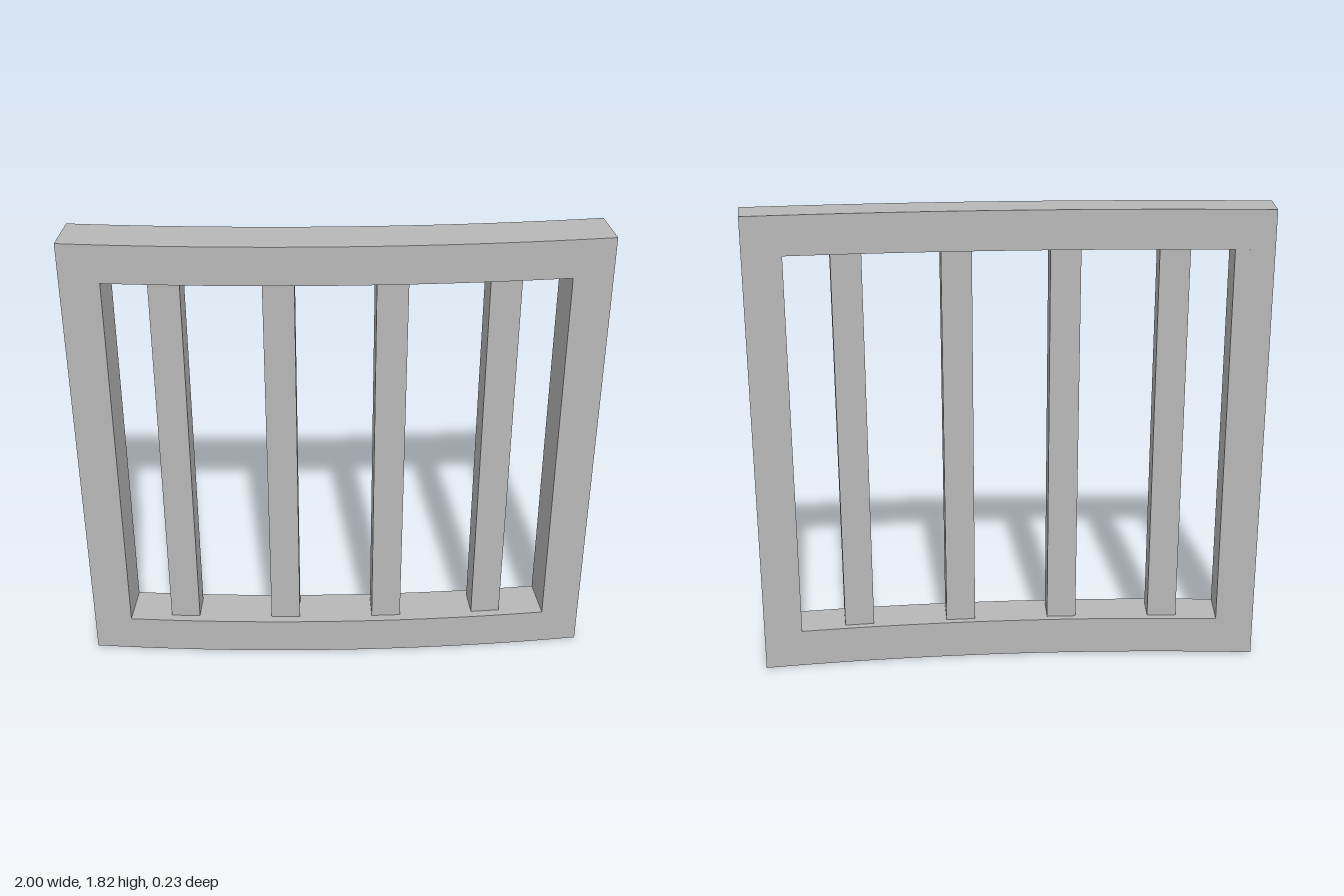
import * as THREE from 'three';

const R = 9.1;          // radius of the curved front face
const FRONT = 0.117;    // z of the front face at the middle
const DEPTH = 0.18;
const HEIGHT = 1.82;
const RAIL = 0.15;

// Box wrapped round the vertical axis of the arc; x is measured along the front face.
function bentBox(x0, x1, y0, y1, z0, z1, segments) {
  const geo = new THREE.BoxGeometry(x1 - x0, y1 - y0, z1 - z0, segments, 1, 1);
  geo.translate((x0 + x1) / 2, (y0 + y1) / 2, (z0 + z1) / 2);
  const p = geo.attributes.position;
  for (let i = 0; i < p.count; i++) {
    const a = p.getX(i) / R;
    const r = R + p.getZ(i) - FRONT;
    p.setXYZ(i, r * Math.sin(a), p.getY(i), FRONT - R + r * Math.cos(a));
  }
  geo.computeVertexNormals();
  return geo;
}

export function createModel() {
  const group = new THREE.Group();
  const grey = new THREE.MeshStandardMaterial({ color: 0xb8b8b8 });
  grey.name = 'plain grey';

  const add = (name, geo) => {
    const mesh = new THREE.Mesh(geo, grey);
    mesh.name = name;
    group.add(mesh);
  };

  const back = FRONT - DEPTH;
  const half = R * Math.asin(1 / R);
  const inner = 0.851;

  // Curved frame: two rails and two stiles
  add('bottomRail', bentBox(-half, half, 0, RAIL, back, FRONT, 24));
  add('topRail', bentBox(-half, half, HEIGHT - RAIL, HEIGHT, back, FRONT, 24));
  add('leftStile', bentBox(inner, half, RAIL, HEIGHT - RAIL, back, FRONT, 2));
  add('rightStile', bentBox(-half, -inner, RAIL, HEIGHT - RAIL, back, FRONT, 2));

  // Four upright square bars, set in from the front and back faces
  const barFront = 0.083, barSize = 0.117;
  for (let i = 0; i < 4; i++) {
    const x = -0.006 + (i - 1.5) * 0.415;
    add('bar' + (i + 1), bentBox(x - barSize / 2, x + barSize / 2,
      RAIL, HEIGHT - RAIL, barFront - barSize, barFront, 1));
  }
  return group;
}
